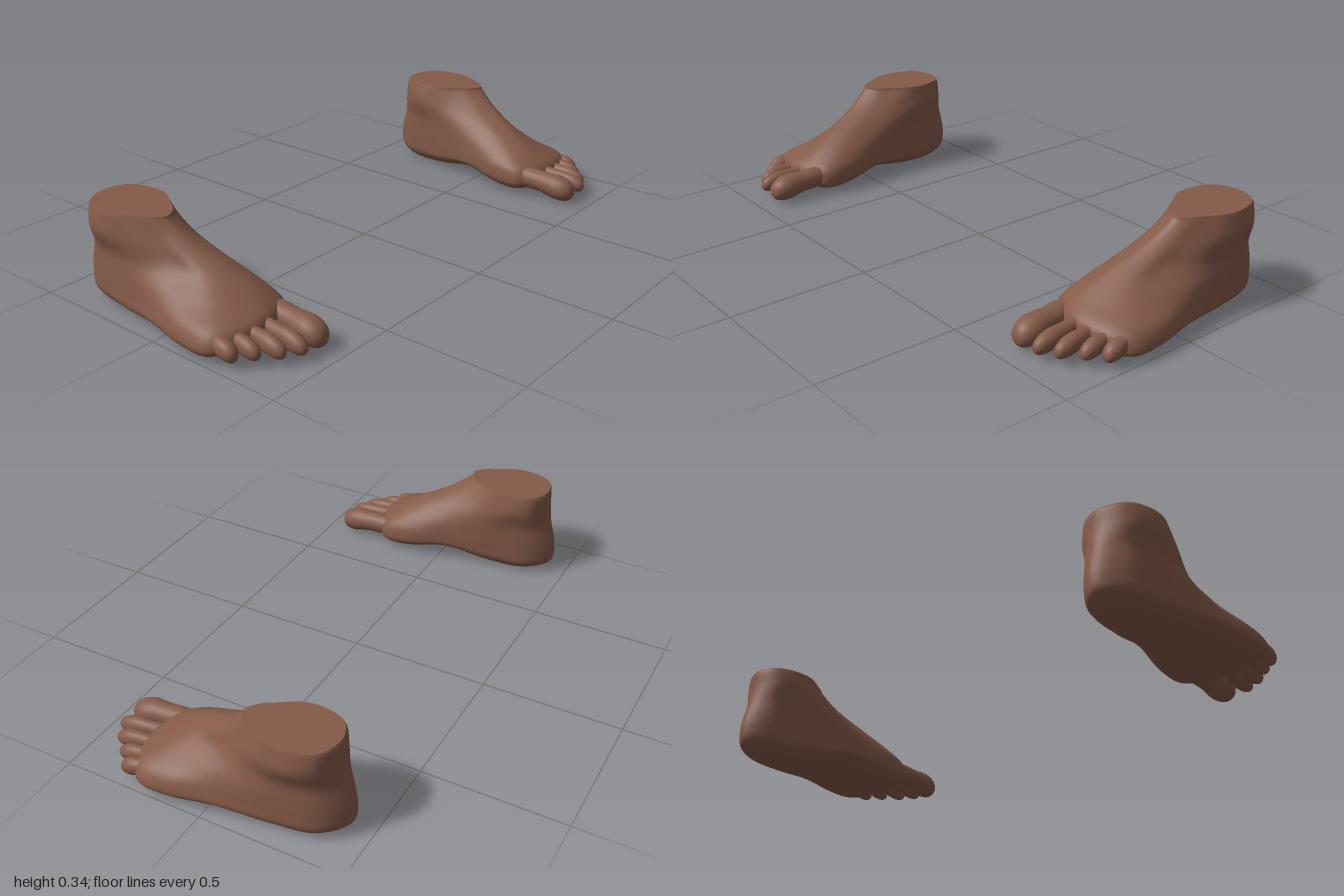
import * as THREE from 'three';
import { mergeVertices } from 'three/addons/utils/BufferGeometryUtils.js';

const { lerp, clamp } = THREE.MathUtils;
const AROUND = 72, DOWN = 56;

// Horizontal contours of the left foot, ankle to sole: height, back z, front z, front x,
// bluntness of the front, then x on the outer and inner side at ankle, middle and forefoot.
const contours = [
  { y: 0.33, back: -.402, front: -.075, tipX: .84, blunt: .54, outer: [.938, .938, .903], inner: [.717, .72, .763] },
  { y: 0.27, back: -.406, front: 0, tipX: .82, blunt: .55, outer: [.953, .94, .895], inner: [.70, .713, .745] },
  { y: 0.20, back: -.42, front: .128, tipX: .785, blunt: .68, outer: [.935, .928, .885], inner: [.71, .70, .712] },
  { y: 0.14, back: -.437, front: .228, tipX: .77, blunt: .76, outer: [.94, .95, .935], inner: [.71, .69, .674] },
  { y: 0.09, back: -.445, front: .29, tipX: .82, blunt: .87, outer: [.945, .966, .988], inner: [.71, .682, .652] },
  { y: 0.04, back: -.437, front: .288, tipX: .83, blunt: .92, outer: [.945, .972, .999], inner: [.715, .687, .655] },
];

// Toes from big to little: x and z of the tip, radius, height factor
const toes = [
  { name: 'bigToe', x: .717, z: .444, r: .047, tall: 1 },
  { name: 'secondToe', x: .798, z: .443, r: .028, tall: 1.2 },
  { name: 'thirdToe', x: .855, z: .411, r: .027, tall: 1.2 },
  { name: 'fourthToe', x: .908, z: .36, r: .026, tall: 1.2 },
  { name: 'littleToe', x: .957, z: .315, r: .028, tall: 1.15 },
];

// One closed smooth contour: back, outer side, front, inner side
function ring({ y, back, front, tipX, blunt, outer, inner }) {
  const backX = .82;
  const side = ([ankle, middle, fore]) => [
    [lerp(backX, ankle, .72), .09], [ankle, .3], [middle, .55], [fore, .78], [lerp(tipX, fore, blunt), .93],
  ];
  const points = [[backX, 0], ...side(outer), [tipX, 1], ...side(inner).reverse()]
    .map(([x, t]) => new THREE.Vector3(x, y, lerp(back, front, t)));
  const curve = new THREE.CatmullRomCurve3(points, true);
  return Array.from({ length: AROUND }, (_, i) => curve.getPoint(i / AROUND));
}

function footRings() {
  const rings = contours.map(ring);
  const inset = (source, y, cz, sx, sz) =>
    source.map(v => new THREE.Vector3(lerp(.83, v.x, sx), y, lerp(cz, v.z, sz)));
  // Rounded rim of the ankle cut, then the sole, closed on a line along its middle
  const rim = inset(rings[0], .34, -.24, .97, .97);
  const sole = inset(rings[rings.length - 1], .007, -.07, .7, .86);
  return [rim, ...rings, sole, inset(sole, .006, 0, 0, 1)];
}

function bodyGeometry(rings) {
  const pos = [], index = [];
  const columns = rings[0].map((_, i) => new THREE.CatmullRomCurve3(rings.map(r => r[i])));
  for (let j = 0; j <= DOWN; j++) {
    for (const column of columns) {
      const v = column.getPoint(j / DOWN);
      // Raise the arch, most of all on the inner side
      const inner = clamp((.86 - v.x) / .16, 0, 1);
      const low = Math.max(0, 1 - v.y / .1);
      v.y += Math.exp(-(((v.z + .03) / .13) ** 2)) * (.015 + .025 * inner) * low;
      pos.push(v.x, v.y, v.z);
    }
  }
  for (let j = 0; j < DOWN; j++) {
    for (let i = 0; i < AROUND; i++) {
      const a = j * AROUND + i, b = j * AROUND + (i + 1) % AROUND;
      index.push(a, b, a + AROUND, b, b + AROUND, a + AROUND);
    }
  }
  const geo = new THREE.BufferGeometry();
  geo.setAttribute('position', new THREE.Float32BufferAttribute(pos, 3));
  geo.setIndex(index);
  return geo;
}

// Flat cut across the ankle
function capGeometry(rim) {
  const shape = new THREE.Shape(rim.map(v => new THREE.Vector2(v.x, -v.z)));
  return new THREE.ShapeGeometry(shape).rotateX(-Math.PI / 2).translate(0, .34, 0);
}

// A turned toe with a narrow neck and round pad, bent down along its length
function toeGeometry({ x, z, r, tall }) {
  const profile = new THREE.SplineCurve([[.72, 0], [.85, .3], [.86, .52], [1, .74], [.86, .89], [.5, .975], [0, 1]]
    .map(([radius, t]) => new THREE.Vector2(radius * r, t))).getPoints(28);
  const turned = new THREE.LatheGeometry(profile, 24).rotateX(Math.PI / 2);
  turned.deleteAttribute('uv');
  turned.deleteAttribute('normal');
  const geo = mergeVertices(turned, 1e-5);
  const p = geo.attributes.position;
  for (let i = 0; i < p.count; i++) {
    const t = p.getZ(i);
    p.setXYZ(i,
      lerp(x - .009, x, t) + p.getX(i),
      lerp(.072, .048, t * t) + p.getY(i) * tall,
      lerp(z * .42, z, t));
  }
  return geo;
}

// Swap a geometry to the other side of x = 0 and keep its faces outward
function mirror(geo) {
  geo.scale(-1, 1, 1);
  const a = geo.index.array;
  for (let i = 0; i < a.length; i += 3) [a[i], a[i + 1]] = [a[i + 1], a[i]];
}

function createFoot(name, mirrored, skin) {
  const foot = new THREE.Group();
  foot.name = name;
  const add = (part, geo) => {
    if (mirrored) mirror(geo);
    geo.computeVertexNormals();
    const mesh = new THREE.Mesh(geo, skin);
    mesh.name = part;
    foot.add(mesh);
  };
  const rings = footRings();
  add('footBody', bodyGeometry(rings));
  add('ankleCut', capGeometry(rings[0]));
  for (const toe of toes) add(toe.name, toeGeometry(toe));
  return foot;
}

export function createModel() {
  const skin = new THREE.MeshStandardMaterial({ color: 0x845a48 });
  skin.name = 'brown skin';
  const model = new THREE.Group();
  model.name = 'pairOfFeet';
  model.add(createFoot('leftFoot', false, skin), createFoot('rightFoot', true, skin));
  return model;
}
